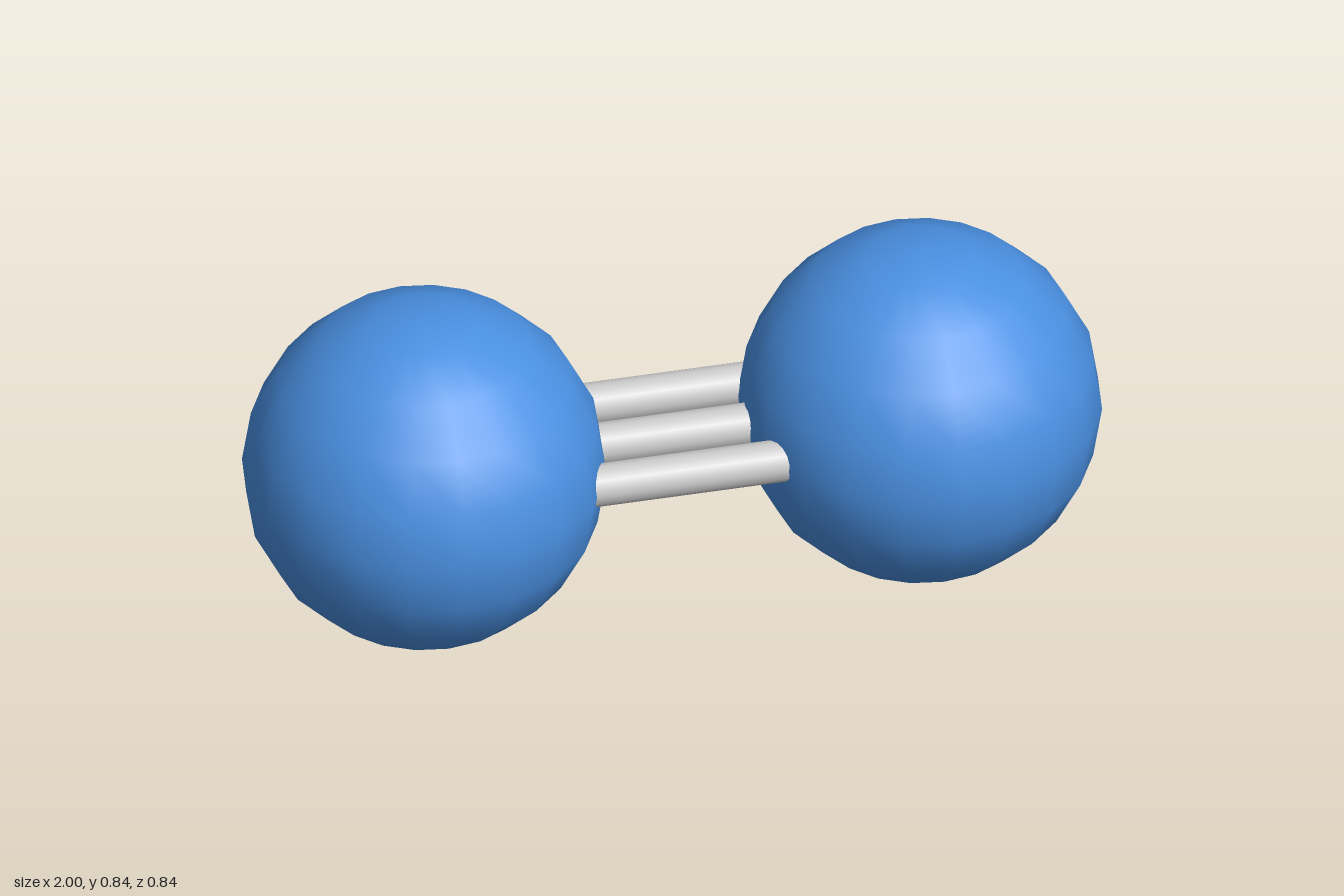
import * as THREE from 'three';

const RADIUS = 0.418;      // ball radius
const OFFSET = 0.582;      // ball centre distance from the middle
const ROD_RADIUS = 0.05;
const ROD_GAP = 0.16;      // spacing of the parallel rods

export function createModel() {
  const model = new THREE.Group();
  const blue = new THREE.MeshStandardMaterial({ color: 0x4a90e2 });
  const grey = new THREE.MeshStandardMaterial({ color: 0xcccccc });

  // Two smooth-shaded balls
  const ballGeometry = new THREE.SphereGeometry(RADIUS, 20, 10);
  for (const [name, side] of [['leftBall', 1], ['rightBall', -1]]) {
    const ball = new THREE.Mesh(ballGeometry, blue);
    ball.name = name;
    ball.position.set(side * OFFSET, RADIUS, 0);
    model.add(ball);
  }

  // Three parallel rods, running from ball centre to ball centre
  const rodGeometry = new THREE.CylinderGeometry(ROD_RADIUS, ROD_RADIUS, 2 * OFFSET, 16);
  rodGeometry.rotateZ(Math.PI / 2);
  for (const [name, row] of [['backRod', -1], ['middleRod', 0], ['frontRod', 1]]) {
    const rod = new THREE.Mesh(rodGeometry, grey);
    rod.name = name;
    rod.position.set(0, RADIUS, row * ROD_GAP);
    model.add(rod);
  }

  return model;
}
